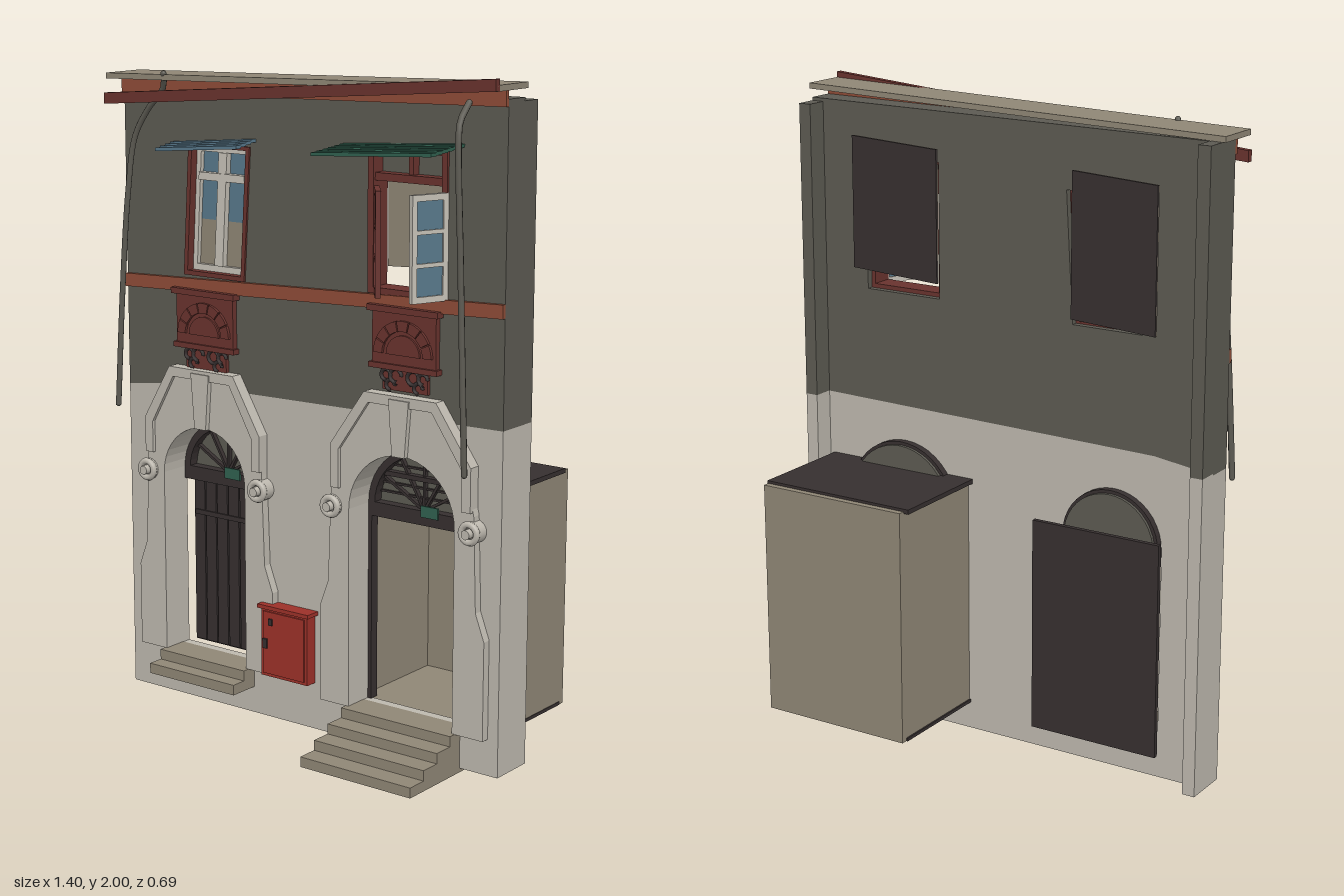
import * as THREE from 'three';

const mat = (name, color) => {
  const m = new THREE.MeshStandardMaterial({ color });
  m.name = name;
  return m;
};

export function createModel() {
  const root = new THREE.Group();
  root.name = 'houseFacade';
  const plaster = mat('palePlaster', 0xbdb8ae), dark = mat('darkWall', 0x5c5a52);
  const rust = mat('rustTrim', 0x8e4c37), maroon = mat('maroonPaint', 0x69332e);
  const red = mat('boxRed', 0x9c3129), tan = mat('tanStone', 0x8f8675);
  const coal = mat('charcoal', 0x362f2f), blue = mat('glassBlue', 0x58788b);
  const green = mat('awningGreen', 0x30604f), cream = mat('creamPaint', 0xc6c1b7);

  const add = (geo, m, name, parent = root) => {
    const mesh = new THREE.Mesh(geo, m);
    mesh.name = name;
    parent.add(mesh);
    return mesh;
  };
  // Outline in x,y extruded from z0 to z1
  const toV = (pts) => pts.map(([x, y]) => new THREE.Vector2(x, y));
  const prism = (name, m, pts, z0, z1, holes = [], parent = root) => {
    const s = new THREE.Shape(toV(pts));
    holes.forEach((h) => s.holes.push(new THREE.Path(toV(h))));
    const g = new THREE.ExtrudeGeometry(s, { depth: z1 - z0, bevelEnabled: false });
    return add(g.translate(0, 0, z0), m, name, parent);
  };
  // Rectangle with optional lean (k = x shift per unit height)
  const rect = (x0, y0, x1, y1, k = 0) =>
    [[x0, y0], [x1, y0], [x1, y1], [x0, y1]].map(([x, y]) => [x + k * (y - 1.36), y]);
  const slab = (name, m, x0, x1, y0, y1, z0, z1, parent = root) =>
    prism(name, m, rect(x0, y0, x1, y1), z0, z1, [], parent);
  // Sloping strip running along x
  const strip = (name, m, x0, yl, x1, yr, h, z0, z1) =>
    prism(name, m, [[x0, yl], [x1, yr], [x1, yr + h], [x0, yl + h]], z0, z1);
  const arc = (cx, cy, r, a0, a1, n = 20) => Array.from({ length: n + 1 }, (_, i) => {
    const a = a0 + (a1 - a0) * i / n;
    return [cx + r * Math.cos(a), cy + r * Math.sin(a)];
  });
  const arch = (c, r, y0, spring) => [[c + r, y0], ...arc(c, spring, r, 0, Math.PI), [c - r, y0]];
  // Straight bar between two points in x,y
  const bar = (name, m, a, b, w, z0, z1, parent = root) => {
    const dx = b[0] - a[0], dy = b[1] - a[1], l = Math.hypot(dx, dy) * 2 / w;
    const nx = -dy / l, ny = dx / l;
    return prism(name, m, [[a[0] - nx, a[1] - ny], [b[0] - nx, b[1] - ny],
      [b[0] + nx, b[1] + ny], [a[0] + nx, a[1] + ny]], z0, z1, [], parent);
  };

  // Walls with door and window openings
  const doors = [
    { c: -0.37, r: 0.16, y0: 0.16, sp: 0.73, jamb: 0.265, neck: 0.225, hood: 0.225, top: 1.07, mid: 0.90 },
    { c: 0.365, r: 0.185, y0: 0.125, sp: 0.73, jamb: 0.29, neck: 0.25, hood: 0.245, top: 1.09, mid: 0.92 },
  ];
  const K = 0.06;
  const winL = rect(-0.455, 1.36, -0.225, 1.75, K), winR = rect(0.235, 1.375, 0.495, 1.785);
  prism('lowerWall', plaster, [[-0.69, 0.015], [0.69, 0.015], [0.69, 1.03], [-0.5, 1.01], [-0.69, 0.985]],
    0.02, 0.10, doors.map((d) => arch(d.c, d.r, d.y0, d.sp)));
  prism('upperWall', dark, [[-0.69, 0.985], [-0.5, 1.01], [0.69, 1.03], [0.69, 1.94], [-0.69, 1.93]],
    0.02, 0.10, [winL, winR]);
  for (const [x0, x1, y] of [[-0.69, -0.65, 0.99], [0.65, 0.69, 1.03]]) {
    slab('lowerReturn', plaster, x0, x1, 0.015, y, -0.045, 0.02);
    slab('upperReturn', dark, x0, x1, y, 1.93, -0.045, 0.02);
  }

  // Roof edge and bands
  strip('roofSlab', tan, -0.7, 1.93, 0.7, 1.965, 0.017, 0.02, 0.17);
  strip('eaveBand', rust, -0.69, 1.885, 0.69, 1.92, 0.045, 0.10, 0.112);
  strip('eaveBeam', maroon, -0.7, 1.855, 0.7, 1.966, 0.033, 0.16, 0.18);
  strip('floorBand', rust, -0.69, 1.293, 0.69, 1.345, 0.04, 0.10, 0.112);

  // Stone door surrounds, fanlights and number plates
  for (const d of doors) {
    const half = [[d.jamb, d.y0], [d.jamb, 0.42], [d.neck + 0.01, 0.5], [d.neck, 0.78],
      [d.hood, 0.8], [d.hood, d.mid], [0.125, d.top]];
    const right = half.map(([x, y]) => [d.c + x, y]);
    const left = half.map(([x, y]) => [d.c - x, y]).reverse();
    const inner = arch(d.c, d.r, d.y0, d.sp).reverse();
    prism('doorSurround', plaster, [...right, ...left, ...inner], 0.10, 0.127);
    const band = (o) => [[-d.hood + o, 0.79], [-d.hood + o, d.mid - o * 0.4], [-0.125 + o * 0.5, d.top - o],
      [0.125 - o * 0.5, d.top - o], [d.hood - o, d.mid - o * 0.4], [d.hood - o, 0.79]].map(([x, y]) => [d.c + x, y]);
    prism('hoodMoulding', plaster, [...band(0), ...band(0.03).reverse()], 0.127, 0.138);
    prism('keystone', plaster, [[d.c - 0.022, d.sp + d.r], [d.c + 0.022, d.sp + d.r],
      [d.c + 0.035, d.top - 0.01], [d.c - 0.035, d.top - 0.01]], 0.127, 0.143);
    for (const s of [-1, 1]) {
      const g = new THREE.Group();
      g.name = 'scroll';
      g.position.set(d.c + s * (d.r + 0.058), 0.733, 0.14);
      root.add(g);
      add(new THREE.TorusGeometry(0.026, 0.01, 8, 20), plaster, 'scrollRing', g);
      add(new THREE.CylinderGeometry(0.014, 0.014, 0.04, 14).rotateX(Math.PI / 2), plaster, 'scrollEye', g);
      add(new THREE.CylinderGeometry(0.033, 0.033, 0.04, 20).rotateX(Math.PI / 2).translate(0, 0, -0.025),
        plaster, 'scrollDisc', g);
    }
    // Fanlight
    const r = d.r - 0.01, cy = d.sp;
    prism('fanlightGlass', dark, arc(d.c, cy, r, 0, Math.PI), -0.012, -0.002);
    prism('fanlightRim', coal, [...arc(d.c, cy, d.r, 0, Math.PI), ...arc(d.c, cy, r - 0.012, Math.PI, 0)], -0.002, 0.03);
    for (let i = 1; i < 6; i++) {
      const a = Math.PI * i / 6;
      bar('fanlightSpoke', coal, [d.c, cy], [d.c + r * Math.cos(a), cy + r * Math.sin(a)], 0.008, -0.002, 0.012);
    }
    slab('transomBar', coal, d.c - d.r, d.c + d.r, 0.692, 0.735, -0.012, 0.03);
    slab('numberPlate', green, d.c + 0.005, d.c + 0.065, 0.718, 0.752, 0.03, 0.036);
  }
  for (let i = 1; i < 5; i++) {
    const y = 0.735 + i * 0.028, w = Math.sqrt(0.17 ** 2 - (y - 0.73) ** 2);
    slab('fanlightLouvre', coal, 0.365 - w, 0.365 + w, y, y + 0.006, -0.002, 0.006);
  }
  for (const x of [0.18, 0.538]) slab('doorJamb', coal, x, x + 0.012, 0.125, 0.70, 0.0, 0.03);

  // Left plank door
  slab('doorSlab', coal, -0.58, -0.16, 0.13, 0.786, -0.09, -0.075);
  for (let i = 0; i < 9; i++) {
    const x = -0.575 + i * 0.046;
    slab('doorPlank', coal, x, x + 0.041, 0.135, 0.78, -0.075, -0.068);
  }
  slab('doorRail', coal, -0.57, -0.17, 0.55, 0.565, -0.068, -0.063);
  slab('doorRail', coal, -0.57, -0.17, 0.66, 0.68, -0.068, -0.063);

  // Room behind the right door
  slab('roomBack', tan, 0.135, 0.63, 0.10, 0.825, -0.345, -0.325);
  slab('roomSide', tan, 0.135, 0.15, 0.11, 0.82, -0.325, 0.02);
  slab('roomSide', tan, 0.615, 0.63, 0.11, 0.82, -0.325, 0.02);
  slab('roomFloor', tan, 0.15, 0.615, 0.11, 0.122, -0.325, 0.02);
  slab('roomUnderside', coal, 0.13, 0.632, 0.10, 0.11, -0.325, 0.02);
  slab('roomRoof', coal, 0.12, 0.635, 0.818, 0.832, -0.322, 0.02);
  const pic = [[0.28, 0.46], [0.435, 0.493], [0.42, 0.34], [0.27, 0.317]];
  pic.forEach((p, i) => bar('wallFrame', coal, p, pic[(i + 1) % 4], 0.009, -0.325, -0.318));

  // Steps
  [0.345, 0.28, 0.215, 0.15].forEach((z, i) =>
    slab('rightStep', tan, 0.17, 0.56, 0.002 + i * 0.031, 0.033 + i * 0.031, 0.05, z));
  [0.2, 0.15].forEach((z, i) =>
    slab('leftStep', tan, -0.537, -0.2, 0.097 + i * 0.032, 0.129 + i * 0.032, 0.05, z));

  // Wall box
  slab('wallBox', red, -0.14, 0.035, 0.16, 0.375, 0.10, 0.138);
  slab('wallBoxDoor', red, -0.13, 0.025, 0.17, 0.365, 0.138, 0.143);
  slab('wallBoxLid', red, -0.146, 0.046, 0.374, 0.386, 0.10, 0.15);
  slab('wallBoxLatch', coal, -0.128, -0.112, 0.25, 0.28, 0.143, 0.149);
  slab('wallBoxLatch', coal, -0.106, -0.092, 0.325, 0.345, 0.143, 0.149);

  // Carved panels over the doors
  for (const [c, y] of [[-0.368, 1.135], [0.365, 1.165]]) {
    const g = new THREE.Group();
    g.name = 'carvedPanel';
    g.position.set(c, y, 0);
    root.add(g);
    slab('panelBoard', maroon, -0.11, 0.11, 0, 0.17, 0.10, 0.118, g);
    slab('panelCap', maroon, -0.122, 0.122, 0.16, 0.178, 0.10, 0.13, g);
    slab('panelSill', maroon, -0.118, 0.118, -0.004, 0.012, 0.10, 0.126, g);
    for (let i = 0; i < 7; i++) {
      const a = Math.PI * i / 7 + 0.02, b = Math.PI * (i + 1) / 7 - 0.02;
      prism('panelArch', maroon, [...arc(0, 0.04, 0.1, a, b, 4), ...arc(0, 0.04, 0.07, b, a, 4)], 0.118, 0.127, [], g);
    }
    prism('panelFan', maroon, arc(0, 0.04, 0.058, 0, Math.PI), 0.118, 0.124, [], g);
    slab('carvingBack', maroon, -0.078, 0.078, -0.065, 0, 0.10, 0.112, g);
    for (const s of [-1, 1]) {
      for (const [x, yy, r] of [[0.03, -0.022, 0.02], [0.064, -0.022, 0.016], [0.048, -0.05, 0.015]]) {
        add(new THREE.TorusGeometry(r, 0.006, 6, 14, 5).translate(s * x, yy, 0.114), coal, 'carvingCurl', g);
      }
    }
  }

  // Left window
  const wl = (name, m, x0, y0, x1, y1, z0, z1) => prism(name, m, rect(x0, y0, x1, y1, K), z0, z1);
  prism('leftWindowFrame', maroon, rect(-0.457, 1.352, -0.223, 1.752, K), 0.04, 0.106,
    [rect(-0.443, 1.366, -0.237, 1.74, K)]);
  prism('leftWindowCasing', cream, rect(-0.443, 1.366, -0.237, 1.74, K), 0.05, 0.08,
    [rect(-0.427, 1.385, -0.253, 1.725, K)]);
  wl('leftWindowMullion', cream, -0.356, 1.385, -0.324, 1.725, 0.05, 0.085);
  wl('leftWindowTransom', cream, -0.427, 1.64, -0.253, 1.663, 0.05, 0.088);
  wl('leftWindowGlass', blue, -0.43, 1.52, -0.25, 1.73, 0.058, 0.066);
  wl('leftWindowCurtain', tan, -0.43, 1.38, -0.25, 1.52, 0.058, 0.066);

  // Right window with open sashes
  prism('rightWindowFrame', maroon, rect(0.23, 1.37, 0.5, 1.79), 0.04, 0.108, [rect(0.25, 1.388, 0.482, 1.775)]);
  slab('rightWindowTransom', maroon, 0.25, 0.482, 1.69, 1.712, 0.045, 0.1);
  slab('rightWindowMullion', maroon, 0.358, 0.374, 1.71, 1.775, 0.045, 0.09);
  slab('rightWindowTopPane', dark, 0.25, 0.482, 1.71, 1.777, 0.055, 0.063);
  const sash = (name, x, angle, m) => {
    const g = new THREE.Group();
    g.name = name;
    g.position.set(x, 1.375, 0.1);
    g.rotation.y = -angle;
    root.add(g);
    const panes = [0, 1, 2].map((i) => rect(0.016, 0.018 + i * 0.092, 0.102, 0.098 + i * 0.092));
    prism('sashFrame', m, rect(0, 0, 0.118, 0.3), -0.008, 0.008, panes, g);
    slab('sashGlass', blue, 0.014, 0.104, 0.014, 0.286, -0.003, 0.003, g);
  };
  sash('leftSash', 0.255, 0.9, maroon);
  sash('rightSash', 0.495, 1.95, cream);

  // Boards behind the windows: tan inside, charcoal outside
  for (const [x0, x1, y0, y1] of [[-0.515, -0.24, 1.37, 1.8], [0.22, 0.52, 1.43, 1.83]]) {
    strip('windowBoard', coal, x0, y0, x1, y0 + 0.015, y1 - y0, -0.016, -0.01);
    strip('windowBoardFace', tan, x0, y0, x1, y0 + 0.015, y1 - y0, -0.01, -0.006);
  }

  // Awnings
  const awning = (name, m, x0, x1, yl, yr, n, z1, drop) => {
    for (let i = 0; i < n; i++) {
      const d = (z1 - 0.1) / n, y = drop * (1 - i / Math.max(n - 1, 1));
      strip(name, m, x0, yl + y, x1, yr + y, 0.01, 0.1 + i * d, 0.1 + (i + 1) * d);
    }
  };
  awning('blueAwning', blue, -0.49, -0.18, 1.728, 1.755, 4, 0.19, 0.012);
  awning('greenAwning', green, 0.145, 0.55, 1.765, 1.79, 6, 0.26, 0.012);

  // Drain pipes
  const pipe = (name, pts) => {
    const path = new THREE.CurvePath();
    const v = pts.map((p) => new THREE.Vector3(...p));
    for (let i = 1; i < v.length; i++) path.add(new THREE.LineCurve3(v[i - 1], v[i]));
    const curve = new THREE.CatmullRomCurve3(v, false, 'centripetal');
    add(new THREE.TubeGeometry(curve, 40, 0.009, 8), dark, name);
    add(new THREE.SphereGeometry(0.009, 8, 6).translate(...pts[0]), dark, name + 'Top');
    add(new THREE.SphereGeometry(0.009, 8, 6).translate(...pts[pts.length - 1]), dark, name + 'End');
  };
  pipe('rightDrainPipe', [[0.63, 1.935, 0.2], [0.633, 1.89, 0.245], [0.637, 1.85, 0.258], [0.65, 1.5, 0.26], [0.67, 0.935, 0.26]]);
  pipe('leftDrainPipe', [[-0.475, 1.955, 0.165], [-0.495, 1.91, 0.145], [-0.56, 1.845, 0.14], [-0.61, 1.76, 0.145],
    [-0.632, 1.6, 0.155], [-0.655, 1.3, 0.163], [-0.675, 0.935, 0.17]]);

  return root;
}
